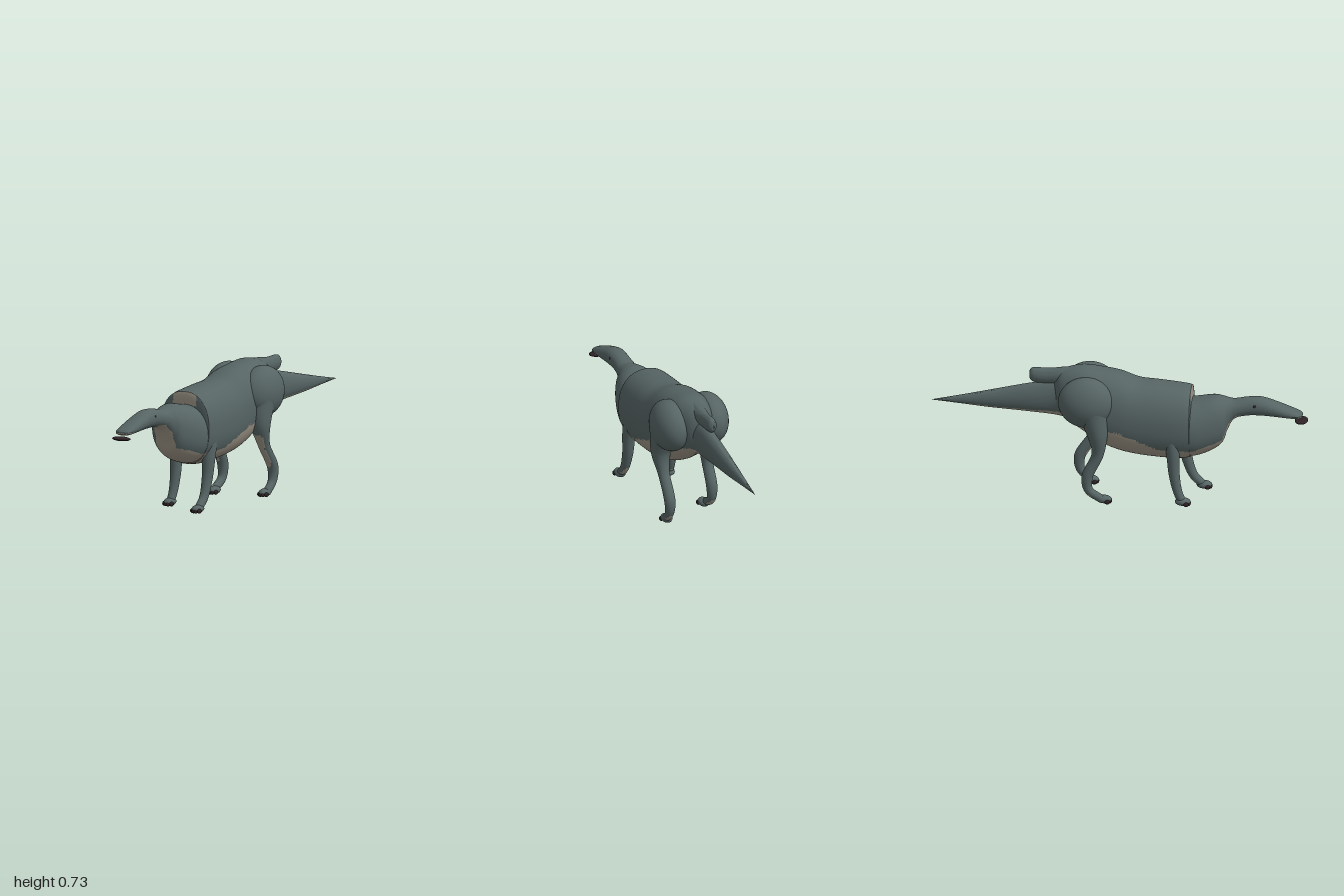
import * as THREE from 'three';
import { toCreasedNormals } from 'three/addons/utils/BufferGeometryUtils.js';

const mat = (name, color) => {
  const m = new THREE.MeshStandardMaterial({ color });
  m.name = name;
  return m;
};

export function createModel() {
  const group = new THREE.Group();
  const hide = mat('slate hide', 0x566464);
  const belly = mat('pale belly', 0x9c9486);
  const dark = mat('dark claw', 0x2e2225);

  const add = (name, geo, material) => {
    const m = new THREE.Mesh(geo, material);
    m.name = name;
    group.add(m);
    return m;
  };

  // Sort the triangles into hide and belly groups by a rule on centre and normal
  const painted = (name, source, isPale) => {
    const geo = source.index ? source.toNonIndexed() : source;
    const p = geo.attributes.position, lists = [[], []];
    const tri = new THREE.Triangle(), c = new THREE.Vector3(), n = new THREE.Vector3();
    for (let i = 0; i < p.count; i += 3) {
      tri.setFromAttributeAndIndices(p, i, i + 1, i + 2);
      tri.getMidpoint(c);
      tri.getNormal(n);
      lists[isPale(c, n) ? 1 : 0].push(i, i + 1, i + 2);
    }
    geo.setIndex(lists.flat());
    geo.clearGroups();
    geo.addGroup(0, lists[0].length, 0);
    geo.addGroup(lists[0].length, lists[1].length, 1);
    return add(name, geo, [hide, belly]);
  };

  // Oval cross-sections [z, bottom, top, half width], back to front
  const loft = (rows, power = 1, steps = 8, sides = 72) => {
    const curve = new THREE.CubicInterpolant(rows.map((_, i) => i), rows.flat(), 4);
    const count = (rows.length - 1) * steps, pos = [], idx = [];
    for (let i = 0; i <= count; i++) {
      const [z, lo, hi, w] = curve.evaluate(i / steps);
      for (let j = 0; j < sides; j++) {
        const a = j / sides * Math.PI * 2, c = Math.cos(a), s = Math.sin(a);
        pos.push(w * Math.sign(c) * Math.abs(c) ** power,
          (lo + hi) / 2 + (hi - lo) / 2 * Math.sign(s) * Math.abs(s) ** power, z);
        if (i === count) continue;
        const k = (j + 1) % sides, r = i * sides, q = r + sides;
        idx.push(r + j, r + k, q + j, r + k, q + k, q + j);
      }
    }
    const geo = new THREE.BufferGeometry();
    geo.setAttribute('position', new THREE.Float32BufferAttribute(pos, 3));
    geo.setIndex(idx);
    return toCreasedNormals(geo, 0.8);
  };

  const ellipsoid = (x, y, z, rx, ry, rz, w = 40, h = 28) =>
    new THREE.SphereGeometry(1, w, h).scale(rx, ry, rz).translate(x, y, z);

  // Height of the pale underside along the body
  const line = [[-1, 0.5], [-0.5, 0.475], [-0.3, 0.475], [-0.2, 0.44], [0, 0.41], [0.1, 0.37],
    [0.2, 0.325], [0.4, 0.31], [0.5, 0.345], [0.55, 0.36], [0.58, 0.45], [0.62, 0.495], [1, 0.495]];
  const lineAt = new THREE.LinearInterpolant(line.map(r => r[0]), line.map(r => r[1]), 1);
  const underside = c => c.y < lineAt.evaluate(c.z)[0];

  // Trunk with a raised lip above the shoulders
  painted('trunk', loft([
    [-0.36, 0.55, 0.61, 0.001], [-0.34, 0.47, 0.66, 0.045], [-0.3, 0.44, 0.705, 0.08],
    [-0.2, 0.375, 0.728, 0.128], [-0.1, 0.31, 0.718, 0.15], [0, 0.27, 0.7, 0.158],
    [0.1, 0.25, 0.665, 0.16], [0.2, 0.24, 0.655, 0.162], [0.3, 0.236, 0.645, 0.162],
    [0.37, 0.243, 0.635, 0.157], [0.383, 0.255, 0.622, 0.148], [0.385, 0.33, 0.55, 0.09],
    [0.385, 0.43, 0.45, 0.001],
  ], 0.88), (c, n) => underside(c) || (n.z > 0.7 && c.y > 0.56 && Math.abs(c.x) < 0.075));

  // Chest, neck and head
  painted('chestNeckHead', loft([
    [0.33, 0.25, 0.56, 0.145], [0.36, 0.25, 0.562, 0.153], [0.42, 0.257, 0.572, 0.144],
    [0.5, 0.29, 0.587, 0.118], [0.55, 0.335, 0.582, 0.094], [0.573, 0.4, 0.577, 0.074],
    [0.61, 0.465, 0.572, 0.057], [0.68, 0.486, 0.585, 0.051], [0.75, 0.489, 0.588, 0.053],
    [0.82, 0.486, 0.568, 0.053], [0.9, 0.48, 0.537, 0.05], [0.95, 0.48, 0.515, 0.045],
    [0.968, 0.486, 0.506, 0.028], [0.972, 0.496, 0.498, 0.001],
  ], 0.92), underside);

  // Tail
  painted('tail', loft([
    [-1, 0.499, 0.501, 0.0005], [-0.85, 0.486, 0.533, 0.015], [-0.7, 0.472, 0.567, 0.029],
    [-0.5, 0.458, 0.613, 0.042], [-0.35, 0.445, 0.642, 0.05], [-0.27, 0.43, 0.66, 0.075],
    [-0.18, 0.41, 0.66, 0.09],
  ]), underside);

  // Ridge over the tail base
  add('rumpRidge', loft([
    [-0.482, 0.66, 0.675, 0.001], [-0.476, 0.64, 0.699, 0.018], [-0.45, 0.625, 0.709, 0.027],
    [-0.38, 0.62, 0.707, 0.029], [-0.3, 0.62, 0.716, 0.04], [-0.2, 0.62, 0.726, 0.05],
  ], 1, 6, 32), hide);

  // Flat mouth plate
  add('mouthPlate', ellipsoid(0, 0.465, 0.965, 0.054, 0.011, 0.035), dark);

  // Limbs: a tube through [x, y, z, radius] points
  const limb = (name, pts) => {
    const curve = new THREE.CatmullRomCurve3(pts.map(p => new THREE.Vector3(p[0], p[1], p[2])));
    const steps = 48, sides = 24, c = new THREE.Vector3(), v = new THREE.Vector3();
    const radius = new THREE.CubicInterpolant(pts.map((_, i) => i), pts.map(p => p[3]), 1);
    const geo = new THREE.TubeGeometry(curve, steps, 1, sides);
    const pos = geo.attributes.position;
    for (let i = 0; i <= steps; i++) {
      curve.getPointAt(i / steps, c);
      const r = radius.evaluate(curve.getUtoTmapping(i / steps) * (pts.length - 1))[0];
      for (let j = 0; j <= sides; j++) {
        const k = i * (sides + 1) + j;
        v.fromBufferAttribute(pos, k).sub(c).multiplyScalar(r).add(c);
        pos.setXYZ(k, v.x, v.y, v.z);
      }
    }
    geo.computeVertexNormals();
    painted(name, geo, (p, n) => n.y < -0.42 && p.y > 0.04);
  };

  // Foot with a row of claws, toe tip at z
  const foot = (name, x, z) => {
    add(name, ellipsoid(x, 0.023, z - 0.042, 0.029, 0.022, 0.042, 24, 16), hide);
    for (let i = 0; i < 4; i++) {
      const t = (i - 1.5) / 1.5;
      add(name + 'Claw', ellipsoid(x + t * 0.023, 0.015, z - 0.012 - 0.011 * t * t,
        0.0095, 0.013, 0.015, 14, 10), dark);
    }
  };

  for (const s of [1, -1]) {
    const side = s > 0 ? 'left' : 'right';

    // Front leg, the left one a step ahead
    const f = s > 0 ? 0 : 1;
    limb(side + 'FrontLeg', [
      [s * 0.11, 0.43, 0.3 - 0.02 * f, 0.045], [s * 0.118, 0.3, 0.328 - 0.035 * f, 0.036],
      [s * 0.118, 0.17, 0.346 - 0.045 * f, 0.029], [s * 0.12, 0.075, 0.38 - 0.06 * f, 0.024],
      [s * 0.121, 0.028, 0.425 - 0.085 * f, 0.022],
    ]);
    foot(side + 'FrontFoot', s * 0.122, 0.478 - 0.09 * f);

    // Haunch and rear leg, the right one a step ahead
    painted(side + 'Haunch', ellipsoid(s * 0.112, 0.565, -0.168, 0.1, 0.138, 0.15),
      c => c.y < 0.44 && c.z < -0.2);
    const b = s > 0 ? 0 : 1;
    limb(side + 'RearLeg', [
      [s * 0.12, 0.52, -0.13, 0.085], [s * 0.138, 0.39, -0.115 + 0.01 * b, 0.054],
      [s * 0.137, 0.28, -0.15 + 0.045 * b, 0.032], [s * 0.138, 0.15, -0.228 + 0.068 * b, 0.03],
      [s * 0.138, 0.075, -0.222 + 0.07 * b, 0.024], [s * 0.138, 0.028, -0.178 + 0.09 * b, 0.022],
    ]);
    foot(side + 'RearFoot', s * 0.13, -0.125 + 0.095 * b);

    // Eye
    add(side + 'Eye', ellipsoid(s * 0.049, 0.553, 0.72, 0.004, 0.007, 0.008, 12, 8), dark);
  }
  return group;
}
